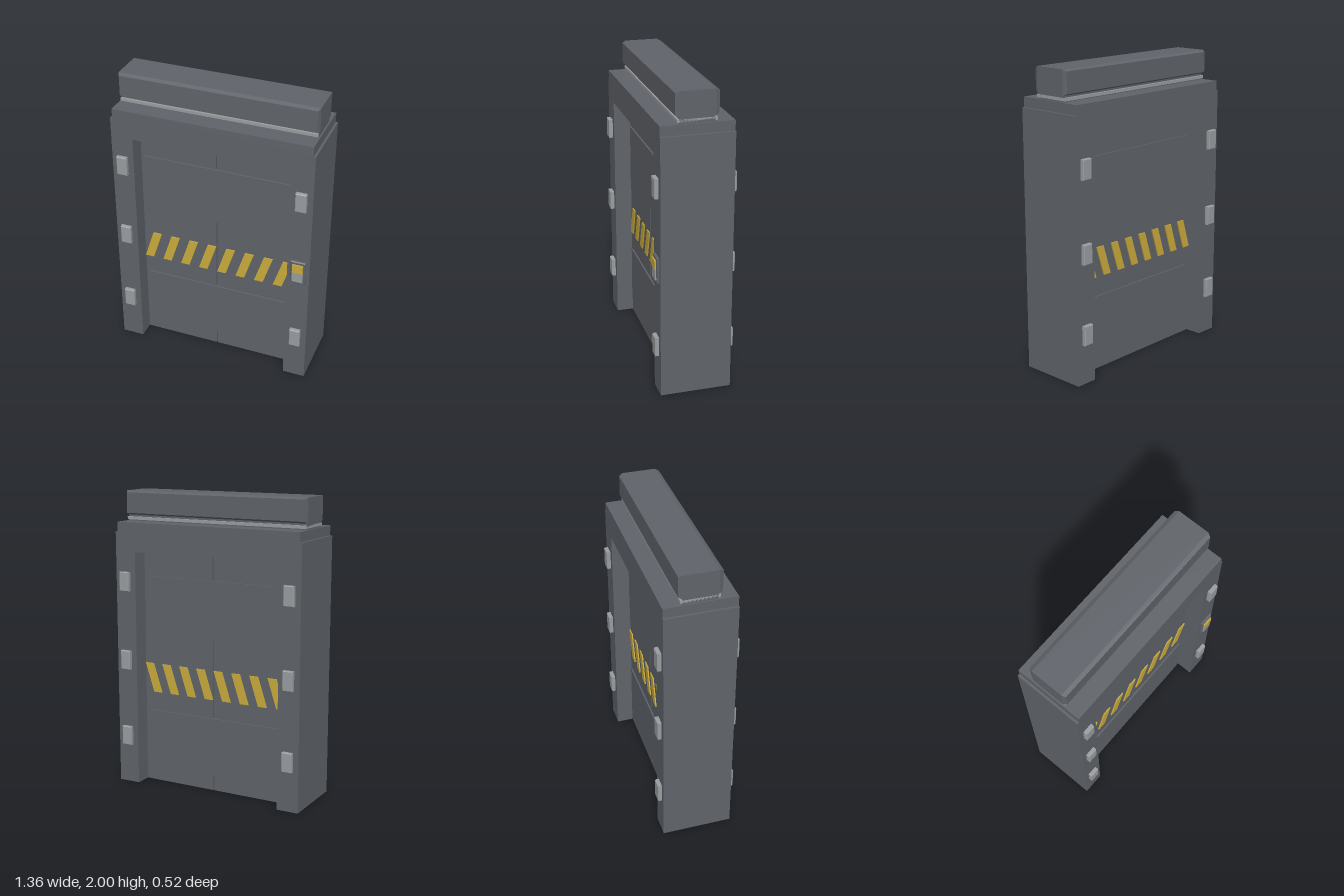
import * as THREE from 'three';

const steel = new THREE.MeshStandardMaterial({ name: 'darkSteel', color: 0x60646a });
const grey = new THREE.MeshStandardMaterial({ name: 'lightGrey', color: 0x9b9ea1 });
const yellow = new THREE.MeshStandardMaterial({ name: 'warningYellow', color: 0xcbac3c });

export function createModel() {
  const model = new THREE.Group();
  model.name = 'slidingDoor';

  const add = (name, geometry, material) => {
    const mesh = new THREE.Mesh(geometry, material);
    mesh.name = name;
    model.add(mesh);
    return mesh;
  };
  // Box given by its limits on each axis
  const box = (name, material, x0, x1, y0, y1, z0, z1) =>
    add(name, new THREE.BoxGeometry(x1 - x0, y1 - y0, z1 - z0), material)
      .position.set((x0 + x1) / 2, (y0 + y1) / 2, (z0 + z1) / 2);
  const outline = (points) => new THREE.Shape(points.map(([x, y]) => new THREE.Vector2(x, y)));
  // Box with chamfered edges around its front and back faces
  const chamferBox = (name, material, x0, x1, y0, y1, z0, z1, inset, bevel) => {
    const shape = outline([[x0 + inset, y0 + inset], [x1 - inset, y0 + inset],
      [x1 - inset, y1 - inset], [x0 + inset, y1 - inset]]);
    const geometry = new THREE.ExtrudeGeometry(shape, {
      depth: z1 - z0 - 2 * bevel, bevelSize: inset, bevelThickness: bevel, bevelSegments: 1,
    });
    geometry.translate(0, 0, z0 + bevel);
    add(name, geometry, material);
  };

  // Door frame: two posts and a lintel with stepped shoulders
  const frame = new THREE.ExtrudeGeometry(outline([
    [-0.68, 0], [-0.53, 0], [-0.53, 1.605], [0.53, 1.605], [0.53, 0], [0.68, 0],
    [0.68, 1.735], [0.665, 1.735], [0.665, 1.8], [-0.665, 1.8], [-0.665, 1.735], [-0.68, 1.735],
  ]), { depth: 0.466, bevelEnabled: false });
  frame.translate(0, 0, -0.233);
  add('doorFrame', frame, steel);

  // Head box on a narrow neck with light rails
  box('headNeck', steel, -0.655, 0.655, 1.8, 1.842, -0.11, 0.11);
  box('headRail', grey, -0.655, 0.655, 1.808, 1.828, -0.124, 0.124);
  chamferBox('headBox', steel, -0.663, 0.663, 1.84, 2, -0.136, 0.136, 0.012, 0.025);

  // Two door leaves with a shallow seam between them
  box('doorCore', steel, -0.02, 0.02, 0, 1.605, -0.1, 0.1);
  for (const s of [-1, 1]) {
    const [x0, x1] = s < 0 ? [-0.53, -0.005] : [0.005, 0.53];
    box('doorLeaf', steel, x0, x1, 0, 1.605, -0.117, 0.117);
  }

  // Raised panels on both faces
  for (const [y0, y1] of [[0.105, 0.505], [1.038, 1.435]]) {
    box('doorPanel', steel, -0.5, 0.5, y0, y1, -0.127, 0.127);
  }

  // Slanted warning stripes on both faces
  const stripe = new THREE.ExtrudeGeometry(
    outline([[0, 0.635], [0.062, 0.635], [0.127, 0.835], [0.065, 0.835]]),
    { depth: 0.008, bevelEnabled: false });
  for (let i = 0; i < 8; i++) {
    for (const z of [0.117, -0.125]) {
      add('warningStripe', stripe, yellow).position.set(-0.53 + i * 0.133, 0, z);
    }
  }

  // Post lamps, with a control pad in place of one on the front
  for (const side of [-1, 1]) {
    for (const face of [-1, 1]) {
      for (const y of [0.27, 0.803, 1.34]) {
        if (side > 0 && face > 0 && y === 0.803) continue;
        const [x0, x1] = side < 0 ? [-0.642, -0.57] : [0.57, 0.642];
        const [z0, z1] = face < 0 ? [-0.26, -0.225] : [0.225, 0.26];
        chamferBox('postLamp', grey, x0, x1, y, y + 0.13, z0, z1, 0.004, 0.004);
      }
    }
  }
  chamferBox('controlPlate', steel, 0.556, 0.656, 0.787, 0.955, 0.225, 0.25, 0.006, 0.006);
  box('controlPad', grey, 0.57, 0.642, 0.803, 0.875, 0.24, 0.257);
  box('controlScreen', yellow, 0.57, 0.642, 0.875, 0.935, 0.24, 0.26);

  return model;
}
